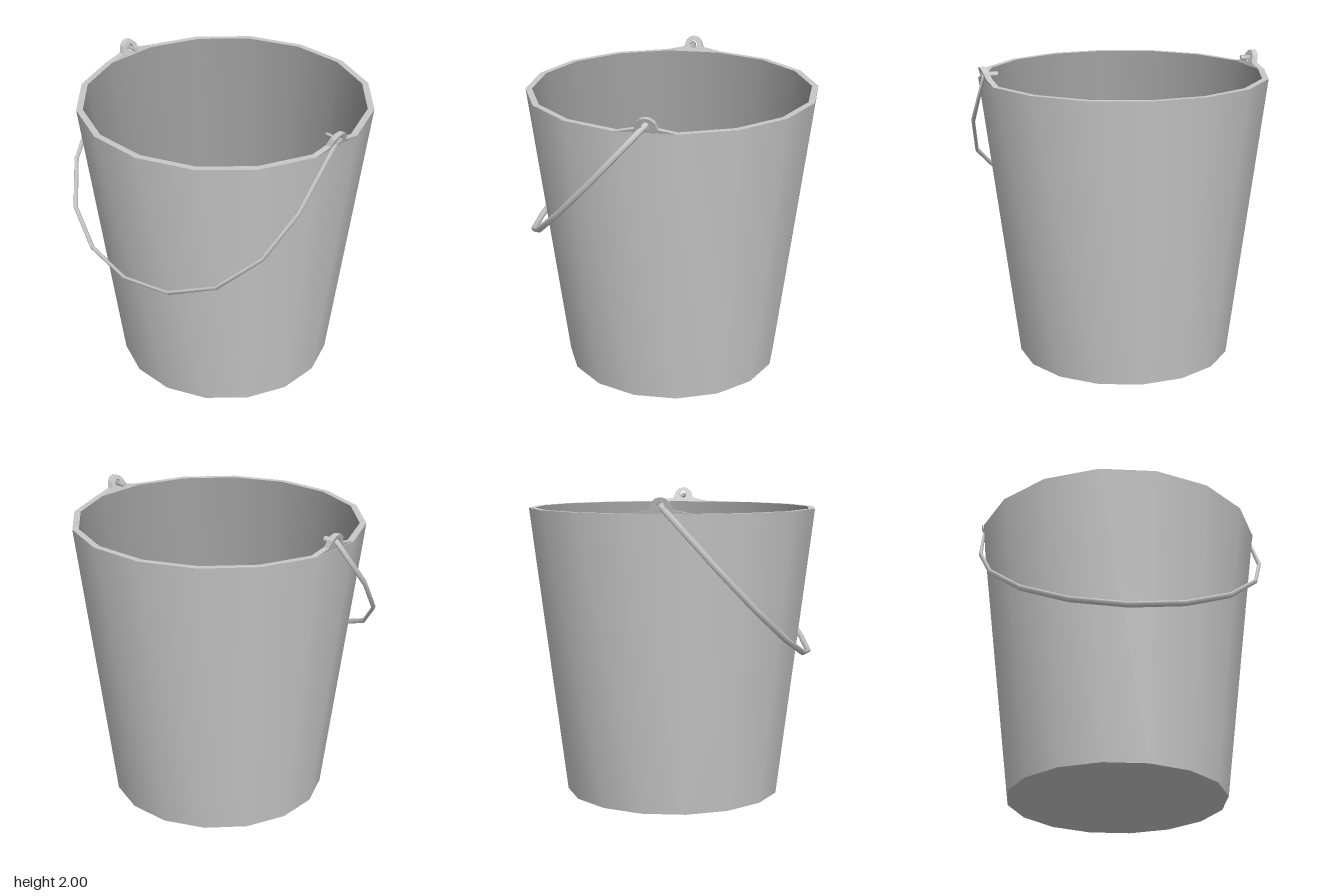
import * as THREE from 'three';
import { toCreasedNormals } from 'three/addons/utils/BufferGeometryUtils.js';

const SIDES = 16;
const v2 = (p) => new THREE.Vector2(p[0], p[1]);

// Straight-sided path with one tube ring per corner, mitred at each bend
class Polyline extends THREE.Curve {
  constructor(points) {
    super();
    this.points = points;
  }
  getPointAt(u, target = new THREE.Vector3()) {
    return target.copy(this.points[Math.round(u * (this.points.length - 1))]);
  }
  getTangentAt(u, target = new THREE.Vector3()) {
    const p = this.points, last = p.length - 1, i = Math.round(u * last);
    target.set(0, 0, 0);
    if (i > 0) target.add(p[i].clone().sub(p[i - 1]).normalize());
    if (i < last) target.add(p[i + 1].clone().sub(p[i]).normalize());
    return target.normalize();
  }
}

// Sixteen-sided turned shell with sharp profile edges
function turned(profile) {
  const geo = new THREE.LatheGeometry(profile.map(v2), SIDES, Math.PI / SIDES);
  return toCreasedNormals(geo, Math.PI / 5);
}

// Pierced ear that rises from the rim and leans outward
function lugGeometry(lean) {
  const shape = new THREE.Shape([
    [-0.19, 0], [0.19, 0], [0.07, 0.025], [0.055, 0.07], [0.03, 0.093],
    [0, 0.1], [-0.03, 0.093], [-0.055, 0.07], [-0.07, 0.025],
  ].map(v2));
  const hole = new THREE.Path();
  hole.absarc(0, 0.05, 0.026, 0, Math.PI * 2, true);
  shape.holes.push(hole);
  const geo = new THREE.ExtrudeGeometry(shape, { depth: 0.038, bevelEnabled: false, curveSegments: 4 });
  const pos = geo.attributes.position;
  for (let i = 0; i < pos.count; i++) pos.setZ(i, pos.getZ(i) + lean * pos.getY(i));
  geo.computeVertexNormals();
  return geo;
}

export function createModel() {
  const steel = new THREE.MeshStandardMaterial({ color: 0xc8c8c8 });
  steel.name = 'lightSteel';
  const inside = new THREE.MeshStandardMaterial({ color: 0x999999 });
  inside.name = 'darkSteel';

  const bucket = new THREE.Group();
  bucket.name = 'bucket';
  const add = (name, geo, mat, parent = bucket) => {
    const mesh = new THREE.Mesh(geo, mat);
    mesh.name = name;
    parent.add(mesh);
    return mesh;
  };

  // Outer wall with base and rim, then the lining with the floor
  const shell = new THREE.Group();
  shell.name = 'shell';
  shell.position.z = -0.008;
  bucket.add(shell);
  add('outerWall', turned([[0, 0], [0.715, 0], [0.95, 1.9], [0.908, 1.9]]), steel, shell);
  add('lining', turned([[0.908, 1.9], [0.68, 0.04], [0, 0.04]]), inside, shell);

  // Lugs at front and back
  const frontLug = add('frontLug', lugGeometry(0.4), steel);
  frontLug.position.set(0, 1.9, 0.885);
  const backLug = add('backLug', lugGeometry(0.28), steel);
  backLug.position.set(0, 1.9, -0.898);
  backLug.rotation.y = Math.PI;

  // Handle drawn flat (x = reach, y = across), then swung down to one side
  const half = [[0, 0.85], [0, 0.937], [0.49, 0.937], [0.835, 0.86], [1.12, 0.66], [1.295, 0.36]];
  const outline = [...half, [1.355, 0], ...half.map(([u, v]) => [u, -v]).reverse()];
  const path = new Polyline(outline.map(([u, v]) => new THREE.Vector3(u, v, 0)));
  const handle = new THREE.Group();
  handle.name = 'handle';
  const reach = new THREE.Vector3(-0.67, -0.742, 0).normalize();
  const across = new THREE.Vector3(0, 0, 1);
  const out = reach.clone().cross(across);
  handle.quaternion.setFromRotationMatrix(new THREE.Matrix4().makeBasis(reach, across, out));
  handle.position.set(0, 1.95, -0.006);
  handle.scale.z = 1.6;
  bucket.add(handle);
  add('handleBar', new THREE.TubeGeometry(path, outline.length - 1, 0.0125, 6, false), steel, handle);

  // Caps closing the hooked ends
  for (const side of [1, -1]) {
    const cap = add('handleEnd', new THREE.CircleGeometry(0.0125, 6), steel, handle);
    cap.position.y = side * 0.85;
    cap.rotation.x = side * Math.PI / 2;
  }
  return bucket;
}
